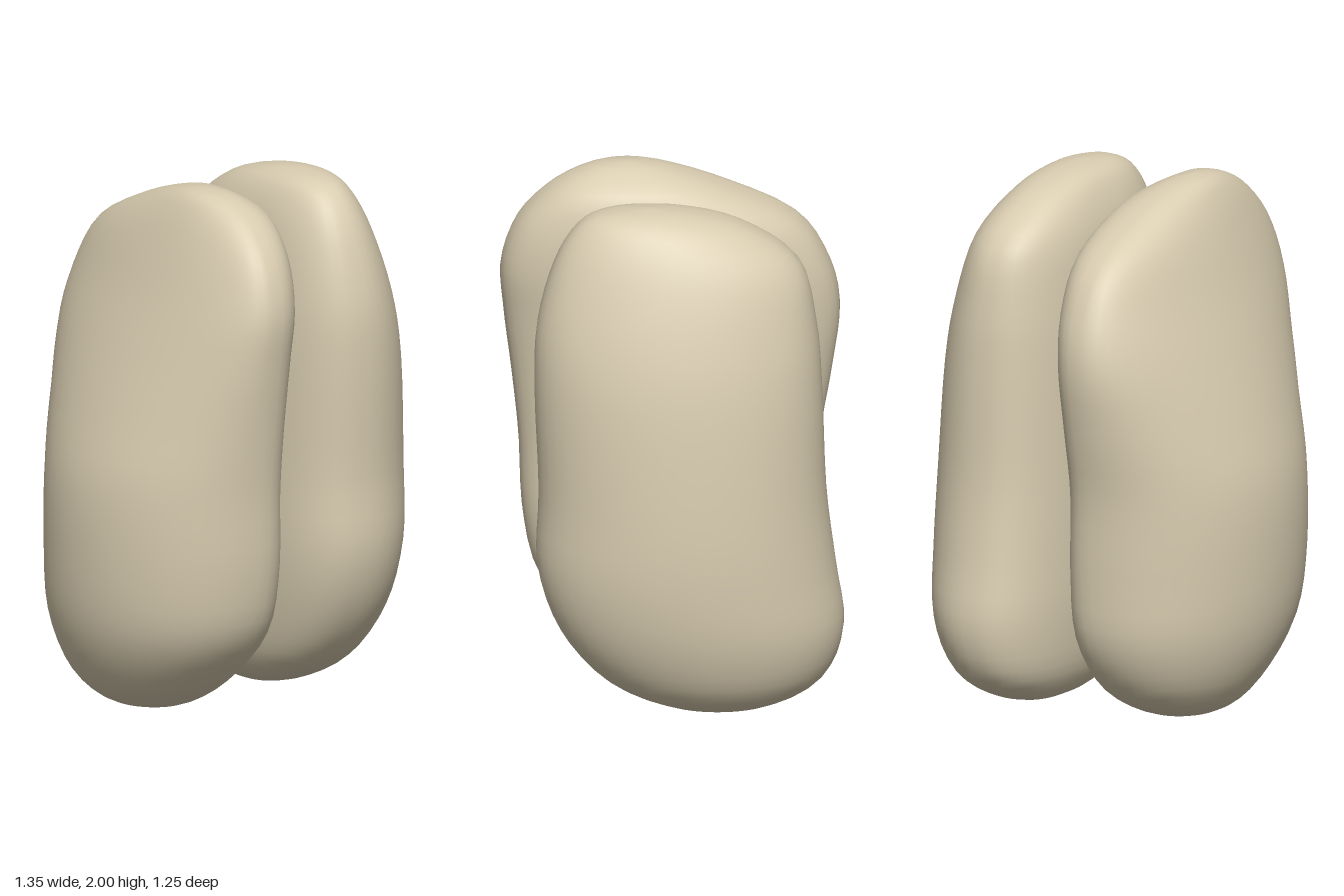
import * as THREE from 'three';
import { mergeVertices } from 'three/addons/utils/BufferGeometryUtils.js';

// Each row is one level of a lobe: y, xMin, xMax, x of the crest, zBack, zFront
const leftRows = [
  [0.005, 0.28, 0.28, 0.28, -0.15, -0.15],
  [0.04, 0.14, 0.41, 0.28, -0.37, 0.05],
  [0.15, 0.06, 0.55, 0.28, -0.55, 0.27],
  [0.35, 0.03, 0.635, 0.3, -0.62, 0.43],
  [0.6, 0.02, 0.67, 0.3, -0.59, 0.51],
  [0.9, 0.02, 0.67, 0.3, -0.555, 0.505],
  [1.3, 0.025, 0.64, 0.3, -0.54, 0.52],
  [1.55, 0.04, 0.59, 0.29, -0.52, 0.51],
  [1.78, 0.07, 0.51, 0.28, -0.46, 0.45],
  [1.92, 0.12, 0.43, 0.27, -0.27, 0.37],
  [1.98, 0.18, 0.36, 0.27, -0.07, 0.27],
  [2.0, 0.27, 0.27, 0.27, 0.1, 0.1],
];
const rightRows = [
  [0.005, -0.3, -0.3, -0.3, -0.05, -0.05],
  [0.04, -0.46, -0.18, -0.3, -0.24, 0.14],
  [0.15, -0.57, -0.06, -0.28, -0.41, 0.31],
  [0.35, -0.65, 0.0, -0.24, -0.52, 0.49],
  [0.6, -0.675, 0.01, -0.22, -0.54, 0.55],
  [0.9, -0.665, 0.0, -0.22, -0.55, 0.565],
  [1.15, -0.6, 0.005, -0.22, -0.59, 0.59],
  [1.4, -0.515, 0.02, -0.22, -0.62, 0.62],
  [1.6, -0.44, 0.035, -0.21, -0.58, 0.63],
  [1.78, -0.375, 0.03, -0.2, -0.46, 0.57],
  [1.91, -0.32, -0.01, -0.19, -0.2, 0.45],
  [1.98, -0.27, -0.11, -0.19, 0.02, 0.31],
  [2.0, -0.19, -0.19, -0.19, 0.17, 0.17],
];

// Loft rounded cross-sections; innerSide is the sign of x on the flatter face
function lobeGeometry(rows, innerSide) {
  const levels = 44, around = 48;
  const curve = k => new THREE.CatmullRomCurve3(
    rows.map(r => new THREE.Vector3(r[k], r[k + 1], r[k + 2])), false, 'catmullrom', 0.5);
  const sides = curve(0), depth = curve(3);
  const power = (v, n) => Math.sign(v) * Math.pow(Math.abs(v), 2 / n);
  const positions = [], index = [];
  for (let i = 0; i <= levels; i++) {
    const { x: y, y: xMin, z: xMax } = sides.getPoint(i / levels);
    const { x: crest, y: back, z: front } = depth.getPoint(i / levels);
    for (let j = 0; j < around; j++) {
      const t = (j / around) * Math.PI * 2;
      const c = Math.cos(t), s = Math.sin(t);
      const n = c * innerSide > 0 ? 2.5 : 2.0;
      const reach = c > 0 ? xMax - crest : crest - xMin;
      positions.push(
        crest + reach * power(c, n),
        y,
        (front + back) / 2 + ((front - back) / 2) * power(s, n));
      if (i < levels) {
        const a = i * around + j, b = i * around + ((j + 1) % around);
        index.push(a, a + around, b, b, a + around, b + around);
      }
    }
  }
  const geometry = new THREE.BufferGeometry();
  geometry.setAttribute('position', new THREE.Float32BufferAttribute(positions, 3));
  geometry.setIndex(index);
  const merged = mergeVertices(geometry, 1e-5);
  merged.computeVertexNormals();
  return merged;
}

export function createModel() {
  const group = new THREE.Group();
  group.name = 'pairedLobes';
  const beige = new THREE.MeshStandardMaterial({ color: 0xd8ccb0 });
  beige.name = 'beige';

  // Two separate lobes facing each other across a narrow gap
  for (const [name, rows, innerSide] of [['leftLobe', leftRows, -1], ['rightLobe', rightRows, 1]]) {
    const lobe = new THREE.Mesh(lobeGeometry(rows, innerSide), beige);
    lobe.name = name;
    group.add(lobe);
  }
  return group;
}
